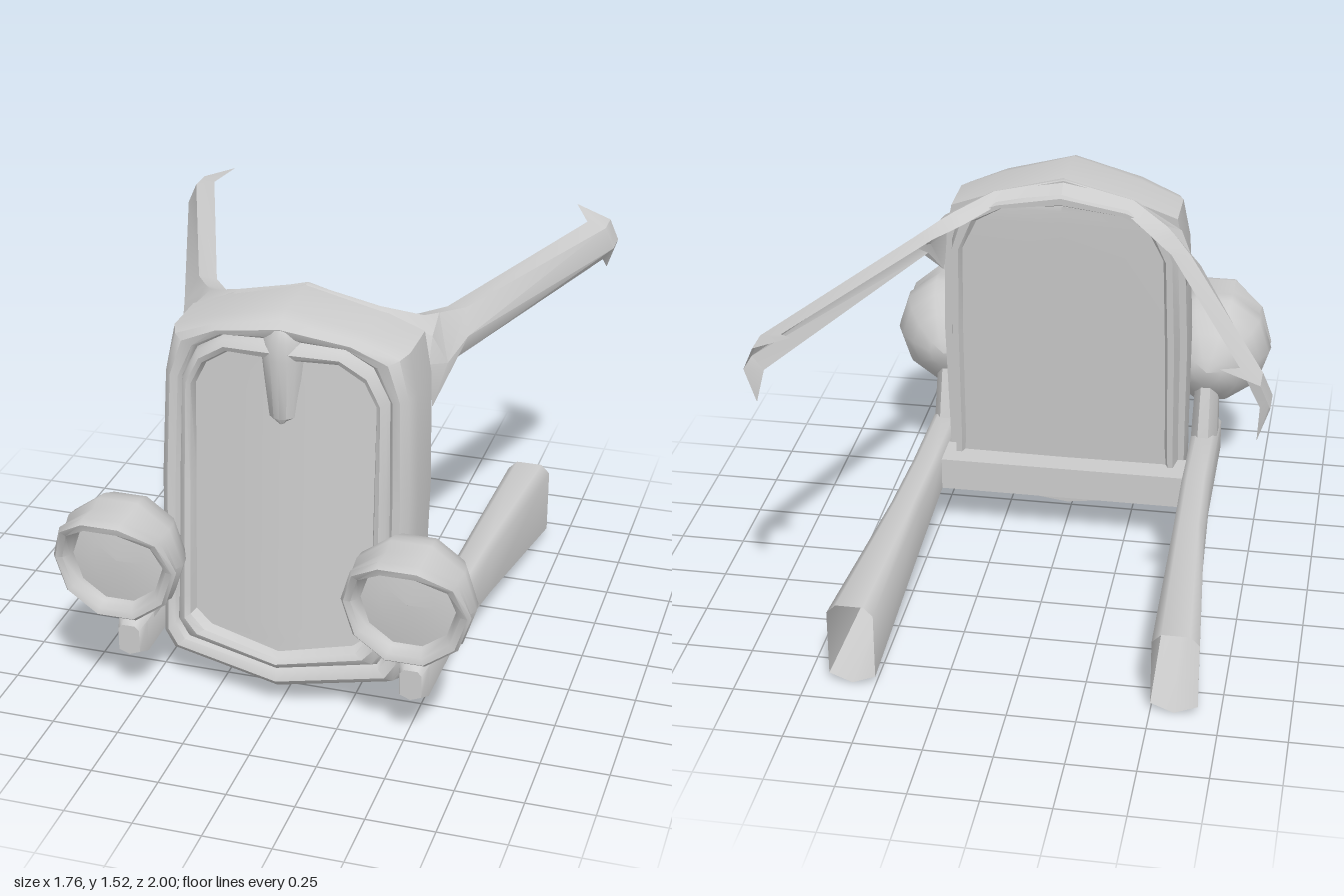
import * as THREE from 'three';
import { toCreasedNormals } from 'three/addons/utils/BufferGeometryUtils.js';

const material = new THREE.MeshStandardMaterial({ color: 0xcccccc, side: THREE.DoubleSide });

// Skin between successive cross-sections (arrays of [x, y, z])
function loft(name, loops, closed = true, crease = 0.7) {
  const n = loops[0].length;
  const index = [];
  for (let i = 0; i < loops.length - 1; i++) {
    for (let j = 0; j < (closed ? n : n - 1); j++) {
      const k = (j + 1) % n;
      const a = i * n + j, b = i * n + k, c = a + n, d = b + n;
      index.push(a, b, d, a, d, c);
    }
  }
  const geometry = new THREE.BufferGeometry();
  geometry.setAttribute('position', new THREE.Float32BufferAttribute(loops.flat(2), 3));
  geometry.setIndex(index);
  const mesh = new THREE.Mesh(toCreasedNormals(geometry, crease), material);
  mesh.name = name;
  return mesh;
}

const mirrorX = (loops) => loops.map((l) => l.map(([x, y, z]) => [-x, y, z]).reverse());

// Half outlines of the grille surround, top centre to bottom centre
const INNER = [[0, 1.36], [0.2, 1.36], [0.29, 1.3], [0.33, 1.22], [0.33, 0.85], [0.33, 0.4], [0.33, 0.33], [0.27, 0.28], [0, 0.23]];
const MIDDLE = [[0, 1.44], [0.22, 1.42], [0.32, 1.36], [0.38, 1.24], [0.39, 0.85], [0.395, 0.4], [0.4, 0.28], [0.36, 0.22], [0, 0.17]];
const OUTER = [[0, 1.53], [0.27, 1.46], [0.43, 1.4], [0.46, 1.25], [0.475, 0.85], [0.47, 0.4], [0.47, 0.2], [0.43, 0.14], [0, 0.08]];

// The front is V-shaped in plan and leans back; the rear leans with it
const frontZ = (x, y) => 0.71 - 0.065 * y - 0.125 * Math.abs(x);
const rearZ = (x, y) => 0.4 - 0.085 * y;

// Full loop at t = 0 (inner) .. 1 (middle) .. 2 (outer)
function outline(t, zRule, dz, xScale = 1, minY = 0) {
  const [from, to, f] = t < 1 ? [INNER, MIDDLE, t] : [MIDDLE, OUTER, t - 1];
  const half = from.map(([x, y], i) => [x + (to[i][0] - x) * f, y + (to[i][1] - y) * f]);
  const full = [...half, ...half.slice(1, -1).reverse().map(([x, y]) => [-x, y])];
  return full.map(([x, y]) => {
    const yy = Math.max(y, minY);
    return [x * xScale, yy, zRule(x * xScale, yy) + dz];
  });
}

function grille() {
  const group = new THREE.Group();
  group.name = 'grille';
  group.add(
    loft('grilleSurround', [
      outline(0, frontZ, -0.05),
      outline(0.2, frontZ, -0.012),
      outline(0.5, frontZ, 0),
      outline(0.85, frontZ, -0.015),
      outline(1, frontZ, -0.035),
      outline(1.15, frontZ, -0.018),
      outline(1.5, frontZ, -0.01),
      outline(1.8, frontZ, -0.035),
      outline(2, frontZ, -0.09),
      outline(2, rearZ, 0),
      outline(1.55, rearZ, 0),
    ]),
    loft('grillePanel', [outline(0, frontZ, -0.045, 0), outline(0, frontZ, -0.045, 0.5), outline(0, frontZ, -0.045)]),
    loft('radiatorCore', [
      outline(1.7, rearZ, 0.01, 1, 0.28),
      outline(1.5, rearZ, -0.07, 1, 0.3),
      outline(1.2, rearZ, -0.07, 1, 0.31),
      outline(1.05, rearZ, -0.045, 1, 0.32),
      outline(1.05, rearZ, -0.05, 0, 0.32),
    ], true, 0.4),
  );

  // Crest: rounded stations given as [y, half width, front z]
  const crest = [[1.125, 0.02, 0.6], [1.15, 0.06, 0.615], [1.37, 0.08, 0.625], [1.44, 0.075, 0.62], [1.48, 0.05, 0.605], [1.505, 0.015, 0.57]];
  group.add(loft('crest', crest.map(([y, w, z]) => Array.from({ length: 9 }, (_, i) => {
    const a = (i / 8) * Math.PI;
    return [w * Math.cos(a), y, z - 0.08 + 0.08 * Math.sin(a)];
  })), false));

  // Lower cross brace between the rails
  const brace = new THREE.Mesh(new THREE.BoxGeometry(0.96, 0.13, 0.15), material);
  brace.name = 'crossBrace';
  brace.position.set(0, 0.26, 0.3);
  group.add(brace);
  return group;
}

// Rear lip of the surround running out into the long hood strip:
// each station is lower edge, side, top crease, inner lip
const STRIP = [
  [[0, 1.53, 0.3], [0, 1.53, 0.29], [0, 1.53, 0.28], [0, 1.48, 0.215]],
  [[0.27, 1.46, 0.29], [0.27, 1.465, 0.28], [0.265, 1.47, 0.27], [0.25, 1.43, 0.22]],
  [[0.45, 1.28, 0.295], [0.45, 1.37, 0.25], [0.4, 1.415, 0.18], [0.35, 1.39, 0.13]],
  [[0.467, 1.12, 0.3], [0.5, 1.26, 0.22], [0.44, 1.405, 0.12], [0.39, 1.385, 0.07]],
  [[0.5, 1.245, 0.17], [0.54, 1.31, 0.08], [0.51, 1.385, 0], [0.44, 1.38, 0]],
  [[0.84, 1.26, -0.9], [0.88, 1.31, -0.9], [0.845, 1.39, -0.9], [0.77, 1.405, -0.91]],
  [[0.84, 1.19, -1], [0.88, 1.31, -1], [0.845, 1.39, -1], [0.71, 1.44, -1]],
];

// Rail stations: [z, x inner, x outer, y bottom, y top]
const RAIL = [
  [0.78, 0.49, 0.57, 0.2, 0.32],
  [0.73, 0.475, 0.585, 0.175, 0.345],
  [0.2, 0.48, 0.59, 0.17, 0.345],
  [-0.13, 0.488, 0.605, 0.12, 0.34],
  [-0.89, 0.5, 0.67, 0.005, 0.33],
];
function railLoops() {
  const loops = RAIL.map(([z, x0, x1, y0, y1]) => {
    const c = (x0 + x1) / 2, b = (x1 - x0) * 0.2;
    return [[c, y0, z], [x1, y0 + b, z], [x1, y1 - b, z], [x1 - b, y1, z], [x0 + b, y1, z], [x0, y1 - b, z], [x0, y0 + b, z]];
  });
  // closed front, open hollow rear
  return [loops[0].map(() => [0.53, 0.26, 0.78]), ...loops];
}

// Ten-sided lamp; the upper part of the rim reaches forward as a visor
function lampLoops() {
  const reach = [0, 0.045, 0.11, 0.11, 0.045, 0, 0, 0, 0, 0];
  const ring = (r, z, e) => reach.map((d, i) => {
    const a = (i / 10) * Math.PI * 2;
    return [0.533 + r * Math.cos(a), 0.63 + r * Math.sin(a), z + d * e];
  });
  const bowl = [[0.001, 0.55, 0], [0.06, 0.565, 0], [0.14, 0.625, 0], [0.2, 0.7, 0], [0.23, 0.77, 0], [0.236, 0.82, 0]];
  const rim = [[0.222, 0.85, 0.25], [0.232, 0.875, 0.8], [0.22, 0.89, 1], [0.195, 0.885, 1], [0.175, 0.86, 0.5], [0.17, 0.835, 0]];
  return {
    body: [...bowl, ...rim].map((p) => ring(...p)),
    lens: [[0.172, 0.84, 0], [0.1, 0.85, 0], [0.001, 0.855, 0]].map((p) => ring(...p)),
  };
}

// Lamp post stations: [y, x radius, z radius, z centre]
const POST = [[0.3, 0.053, 0.1, 0.62], [0.4, 0.05, 0.09, 0.635], [0.58, 0.045, 0.07, 0.67]];
const postLoops = () => POST.map(([y, rx, rz, cz]) => Array.from({ length: 8 }, (_, i) => {
  const a = ((i + 0.5) / 8) * Math.PI * 2;
  return [0.528 + rx * Math.cos(a) * 1.08, y, cz - rz * Math.sin(a) * 1.08];
}));

export function createModel() {
  const model = new THREE.Group();
  model.name = 'carFront';
  model.add(grille());
  const lamp = lampLoops();
  for (const [side, place] of [['left', (l) => l], ['right', mirrorX]]) {
    const group = new THREE.Group();
    group.name = side + 'Side';
    group.add(
      loft(side + 'HoodStrip', place(STRIP), false, 0.6),
      loft(side + 'Rail', place(railLoops()), true, 0.8),
      loft(side + 'Headlamp', place(lamp.body), true, 0.9),
      loft(side + 'Lens', place(lamp.lens)),
      loft(side + 'LampPost', place(postLoops()), true, 0.9),
    );
    model.add(group);
  }
  return model;
}
